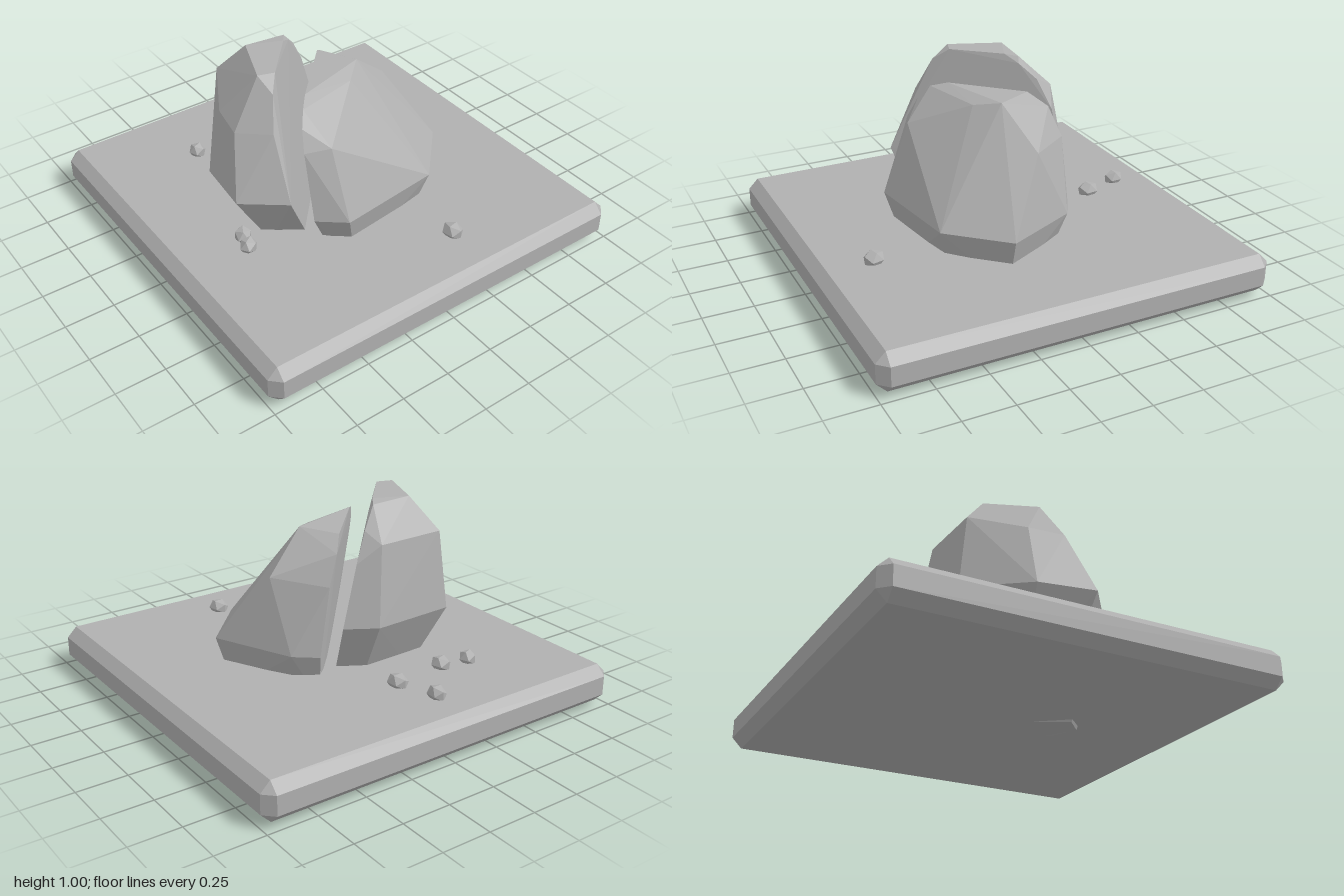
import * as THREE from 'three';
import { ConvexGeometry } from 'three/addons/geometries/ConvexGeometry.js';

const stone = new THREE.MeshStandardMaterial({ color: 0xb0b0b0, flatShading: true });
stone.name = 'grey stone';

// Faceted solid wrapped around a few corner points
function hull(name, points) {
  const mesh = new THREE.Mesh(new ConvexGeometry(points.map(p => new THREE.Vector3(...p))), stone);
  mesh.name = name;
  return mesh;
}

// Square slab with every edge chamfered
function makeSlab() {
  const c = 0.05, half = [1, 0.0985, 1], points = [];
  for (const sx of [-1, 1]) for (const sy of [-1, 1]) for (const sz of [-1, 1]) {
    for (let full = 0; full < 3; full++) {
      const s = [sx, sy, sz];
      points.push(half.map((h, i) => s[i] * (i === full ? h : h - c)));
    }
  }
  const slab = hull('baseSlab', points);
  slab.position.y = 0.1165;
  return slab;
}

export function createModel() {
  const group = new THREE.Group();
  group.name = 'splitBoulder';
  group.add(makeSlab());

  group.add(hull('backBoulderHalf', [
    // rim of the split face
    [-0.47, 0.47, 0.355], [-0.46, 0.78, 0.21], [-0.41, 0.94, 0.135], [-0.35, 1.0, 0.065],
    [-0.16, 1.0, -0.15], [-0.1, 0.96, -0.2], [-0.03, 0.89, -0.265], [0.05, 0.75, -0.31], [0.14, 0.45, -0.33],
    // crown and shoulder
    [-0.43, 1.0, 0.04], [-0.33, 1.0, -0.22], [-0.12, 0.99, -0.21],
    [-0.59, 0.77, 0.08], [-0.56, 0.78, -0.1], [-0.42, 0.84, -0.35], [-0.06, 0.84, -0.36],
    // widest ring
    [-0.67, 0.47, 0.2], [-0.635, 0.46, -0.1], [-0.44, 0.45, -0.4], [-0.01, 0.45, -0.42],
    // foot
    [-0.29, 0.1, 0.25], [-0.45, 0.1, 0.14], [-0.44, 0.1, -0.08], [-0.33, 0.1, -0.25],
    [-0.02, 0.1, -0.26], [0.1, 0.1, -0.19],
  ]));

  group.add(hull('frontBoulderHalf', [
    // rim of the split face
    [-0.36, 0.34, 0.385], [-0.355, 0.68, 0.3], [-0.33, 0.78, 0.25], [-0.29, 0.845, 0.2], [-0.23, 0.87, 0.13],
    [0.05, 0.865, -0.17], [0.12, 0.8, -0.25], [0.19, 0.66, -0.29], [0.25, 0.32, -0.3],
    // crown and shoulder
    [0.15, 0.87, 0.02], [0.04, 0.84, 0.12], [0.375, 0.68, -0.06], [-0.235, 0.69, 0.35],
    // widest ring
    [0.56, 0.34, 0.15], [0.31, 0.34, 0.42], [-0.23, 0.34, 0.49], [0.37, 0.33, -0.23],
    // foot
    [0.47, 0.05, 0.14], [0.24, 0.04, 0.34], [-0.13, 0, 0.4], [-0.2, 0.005, 0.33], [0.1, 0.01, 0.16],
    [0.3, 0.05, -0.15], [0.2, 0.05, -0.22],
  ]));

  // Loose pebbles: x, z, width, depth, turn
  const pebbles = [
    [-0.45, -0.56, 0.043, 0.047, 0.4], [-0.3, -0.535, 0.048, 0.055, 0.3],
    [-0.075, -0.77, 0.044, 0.055, 0], [-0.005, -0.57, 0.049, 0.06, 0.1],
    [0.215, 0.72, 0.049, 0.058, 0.2], [-0.64, 0.24, 0.05, 0.045, 0.6], [-0.62, 0.16, 0.052, 0.045, 1.1],
  ];
  const pebbleShape = new THREE.IcosahedronGeometry(1, 0);
  for (const [x, z, w, d, turn] of pebbles) {
    const pebble = new THREE.Mesh(pebbleShape, stone);
    pebble.name = 'pebble';
    pebble.position.set(x, 0.232, z);
    pebble.scale.set(w, 0.045, d);
    pebble.rotation.y = turn;
    group.add(pebble);
  }
  return group;
}
